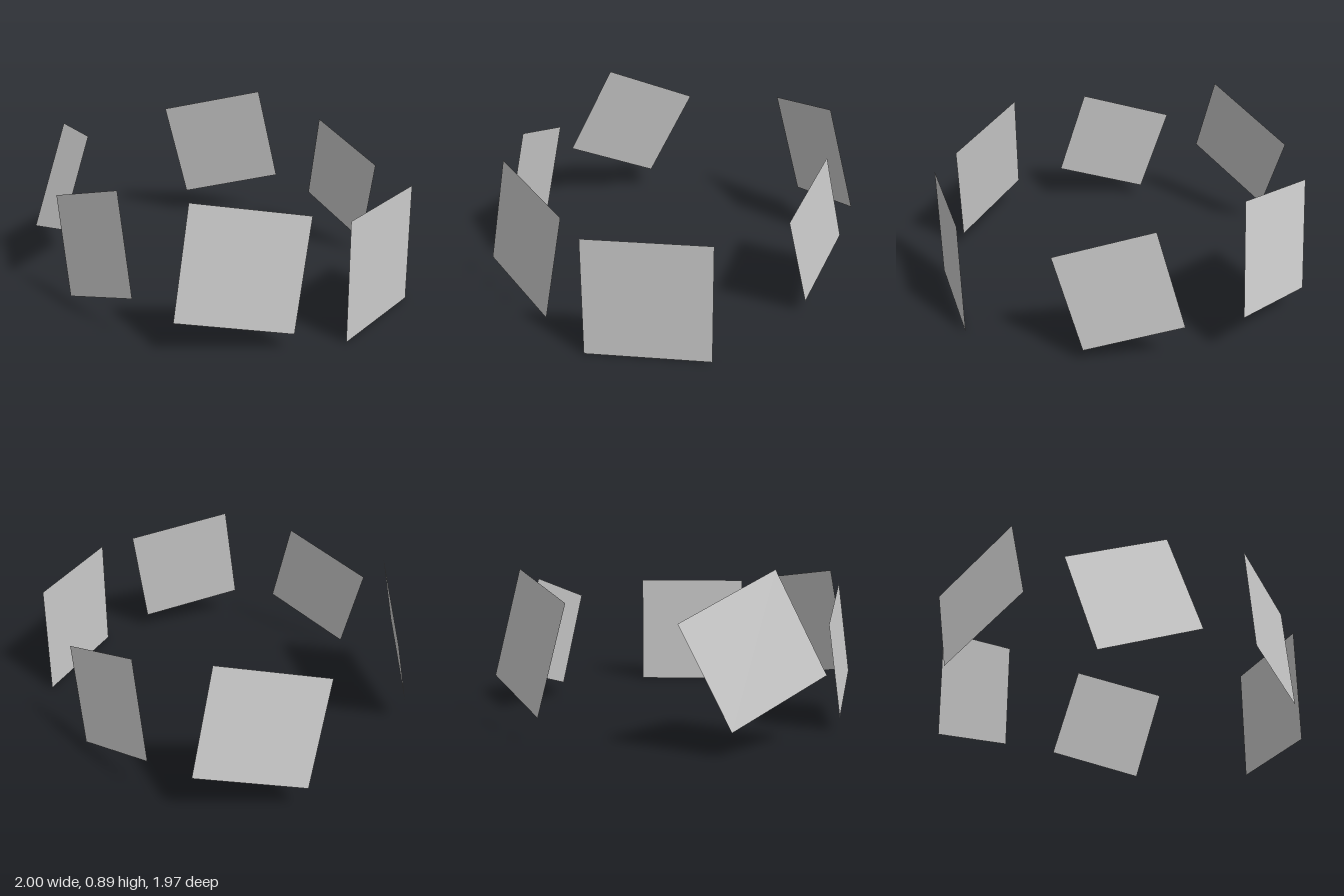
import * as THREE from 'three';

// Flat square cards standing in a ring; each is placed by three corners,
// as seen from outside the ring: top left, top right, bottom left.
const CARDS = {
  frontCard: [[-0.545, 0.59, 0.79], [-0.03, 0.75, 0.885], [-0.40, 0.07, 0.87]],
  frontLeftCard: [[0.412, 0.777, 0.878], [0.855, 0.685, 0.478], [0.39, 0.182, 0.985]],
  leftCard: [[1, 0.652, 0.358], [1, 0.652, -0.292], [1, 0, 0.358]],
  backLeftCard: [[0.60, 0.595, -0.637], [0.11, 0.75, -0.817], [0.475, 0.07, -0.74]],
  backRightCard: [[-0.348, 0.85, -0.833], [-0.845, 0.73, -0.515], [-0.305, 0.265, -0.988]],
  rightCard: [[-1, 0.655, 0.04], [-0.74, 0.89, 0.507], [-1, 0.13, 0.30]],
};

const material = new THREE.MeshStandardMaterial({ color: 0xcccccc, side: THREE.DoubleSide });

// Maps a unit plane onto the parallelogram spanned by the three corners
function makeCard(name, corners) {
  const [topLeft, topRight, bottomLeft] = corners.map((c) => new THREE.Vector3(...c));
  const across = topRight.clone().sub(topLeft);
  const up = topLeft.clone().sub(bottomLeft);
  const normal = across.clone().cross(up).normalize();
  const centre = topRight.clone().add(bottomLeft).multiplyScalar(0.5);

  const geometry = new THREE.PlaneGeometry(1, 1);
  geometry.applyMatrix4(new THREE.Matrix4().makeBasis(across, up, normal));
  const card = new THREE.Mesh(geometry, material);
  card.name = name;
  card.position.copy(centre);
  return card;
}

export function createModel() {
  const group = new THREE.Group();
  group.name = 'cardRing';
  for (const [name, corners] of Object.entries(CARDS)) group.add(makeCard(name, corners));
  return group;
}
